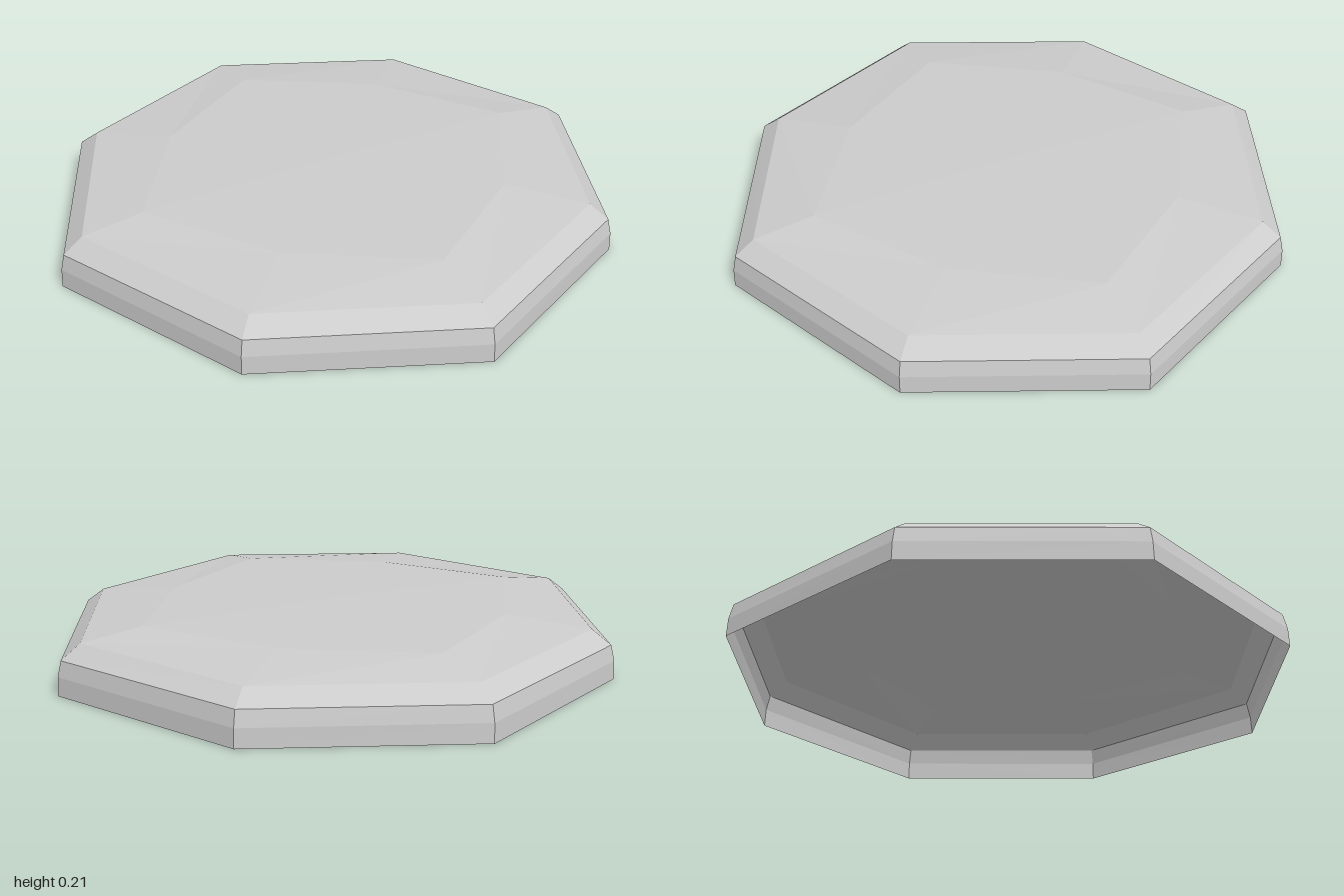
import * as THREE from 'three';

// Cross-sections from the open bottom to the crown: height, reach on the axes, x = z on the diagonals
const RINGS = [
  { y: 0, axis: 1.0, diag: 0.727 },
  { y: 0.065, axis: 0.998, diag: 0.725 },
  { y: 0.12, axis: 0.985, diag: 0.716 },
  { y: 0.17, axis: 0.918, diag: 0.668 },
  { y: 0.2, axis: 0.62, diag: 0.515 },
  { y: 0.21, axis: 0, diag: 0 },
];
const SIDES = 8;

function ringPoint(ring, i) {
  const a = (i % SIDES) * Math.PI / 4;
  const r = i % 2 ? ring.diag * Math.SQRT2 : ring.axis;
  return [Math.sin(a) * r, ring.y, Math.cos(a) * r];
}

// Faceted shell joining the rings, with a triangle fan at the crown
function shellGeometry() {
  const pos = [];
  for (let k = 0; k < RINGS.length - 1; k++) {
    const last = k === RINGS.length - 2;
    for (let i = 0; i < SIDES; i++) {
      const a = ringPoint(RINGS[k], i), b = ringPoint(RINGS[k], i + 1);
      const c = ringPoint(RINGS[k + 1], i + 1), d = ringPoint(RINGS[k + 1], i);
      pos.push(...a, ...b, ...c);
      if (!last) pos.push(...a, ...c, ...d);
    }
  }
  const geo = new THREE.BufferGeometry();
  geo.setAttribute('position', new THREE.Float32BufferAttribute(pos, 3));
  geo.computeVertexNormals();
  return geo;
}

export function createModel() {
  const group = new THREE.Group();
  group.name = 'octagonalSlab';
  const stone = new THREE.MeshStandardMaterial({
    color: 0xcccccc, flatShading: true, side: THREE.DoubleSide,
  });
  stone.name = 'light grey stone';

  // Hollow slab, open underneath
  const shell = new THREE.Mesh(shellGeometry(), stone);
  shell.name = 'slabShell';
  group.add(shell);
  return group;
}
